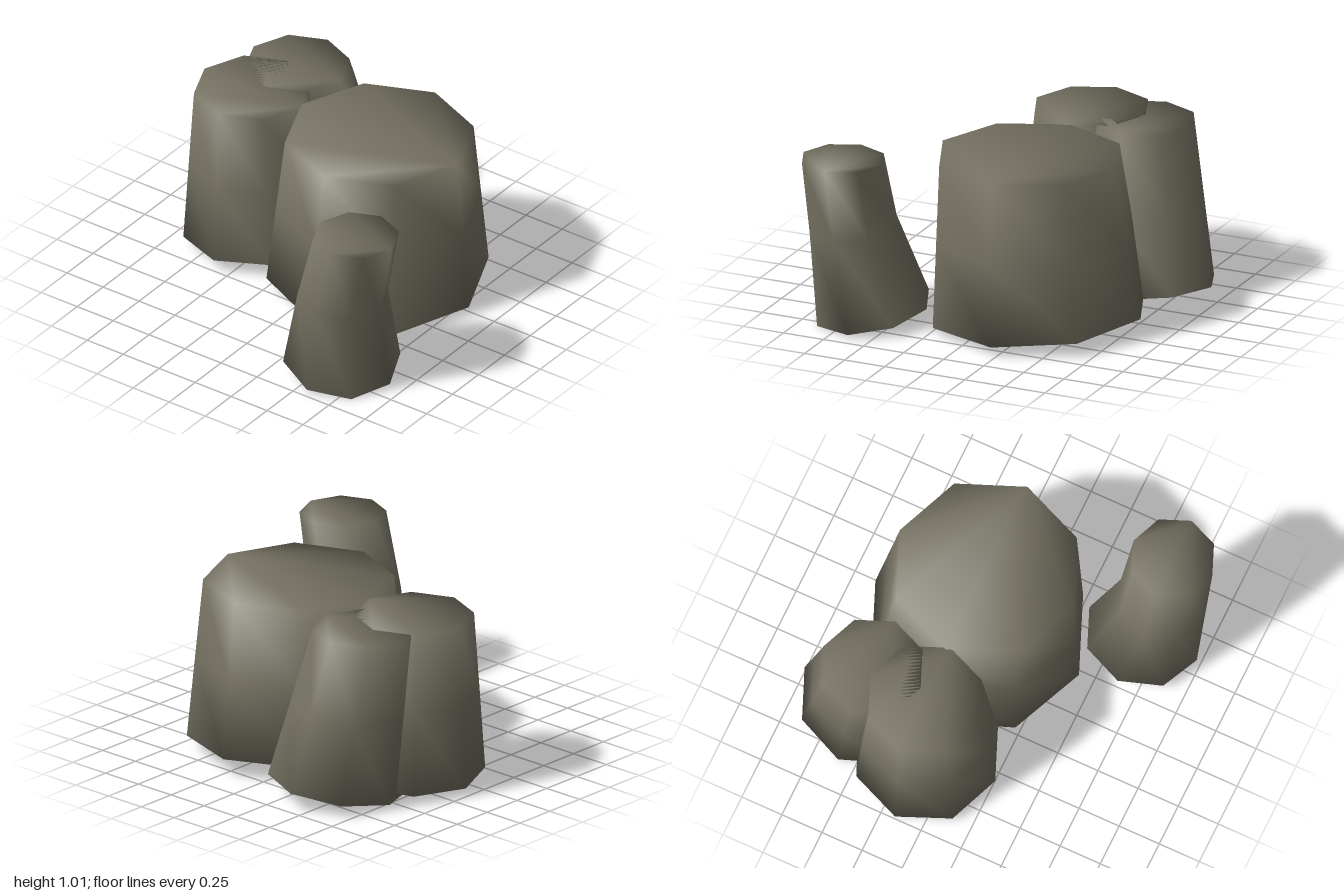
import * as THREE from 'three';

const SIDES = 8;

// One octagonal ring: centre, radius and the slopes that tip it in x and z
function ring({ x, y, z, r, sx = 0, sz = 0 }) {
  const points = [];
  for (let i = 0; i < SIDES; i++) {
    const a = (i / SIDES) * Math.PI * 2;
    const dx = r * Math.cos(a), dz = r * Math.sin(a);
    points.push(x + dx, y + sx * dx + sz * dz, z + dz);
  }
  return points;
}

// Closed, smooth-shaded column through rings listed from bottom to top
function columnGeometry(rings) {
  const index = [];
  const last = (rings.length - 1) * SIDES;
  for (let k = 0; k < rings.length - 1; k++) {
    for (let i = 0; i < SIDES; i++) {
      const j = (i + 1) % SIDES;
      const a = k * SIDES + i, b = k * SIDES + j;
      index.push(a, a + SIDES, b + SIDES, a, b + SIDES, b);
    }
  }
  for (let i = 1; i < SIDES - 1; i++) {
    index.push(0, i, i + 1); // underside
    index.push(last, last + i + 1, last + i); // top
  }
  const geometry = new THREE.BufferGeometry();
  geometry.setAttribute('position', new THREE.Float32BufferAttribute(rings.flatMap(ring), 3));
  geometry.setIndex(index);
  geometry.computeVertexNormals();
  return geometry;
}

// Ring halfway between the bottom and the top
function halfway(bottom, top) {
  const mid = {};
  for (const key of ['x', 'y', 'z', 'r', 'sx', 'sz']) {
    mid[key] = ((bottom[key] ?? 0) + (top[key] ?? 0)) / 2;
  }
  return mid;
}

export function createModel() {
  const stone = new THREE.MeshStandardMaterial({ color: 0x767263 });
  stone.name = 'stone';

  const H = 1.01; // all tops lie level
  const columns = [
    {
      name: 'largeStone',
      bottom: { x: 0.21, y: 0.08, z: -0.22, r: 0.635, sx: -0.04, sz: -0.052 },
      top: { x: 0.25, y: H, z: -0.18, r: 0.54 },
    },
    {
      name: 'frontRightStone',
      bottom: { x: -0.58, y: 0.08, z: -0.16, r: 0.425, sx: 0.06, sz: 0.01 },
      top: { x: -0.61, y: H, z: -0.16, r: 0.34 },
    },
    {
      name: 'backRightStone',
      bottom: { x: -0.43, y: 0.07, z: -0.6, r: 0.395, sx: 0.09, sz: -0.11 },
      top: { x: -0.56, y: H, z: -0.51, r: 0.3 },
    },
    {
      name: 'smallLeaningStone',
      bottom: { x: 0.58, y: 0.07, z: 0.64, r: 0.335, sx: -0.16, sz: -0.13 },
      mid: { x: 0.65, y: 0.58, z: 0.73, r: 0.26, sx: -0.08, sz: -0.07 },
      top: { x: 0.755, y: H, z: 0.745, r: 0.245 },
    },
  ];

  const group = new THREE.Group();
  group.name = 'stoneCluster';
  for (const { name, bottom, mid = halfway(bottom, top), top } of columns.map((c) => ({
    ...c, mid: c.mid ?? halfway(c.bottom, c.top),
  }))) {
    const mesh = new THREE.Mesh(columnGeometry([bottom, mid, top]), stone);
    mesh.name = name;
    group.add(mesh);
  }
  return group;
}
